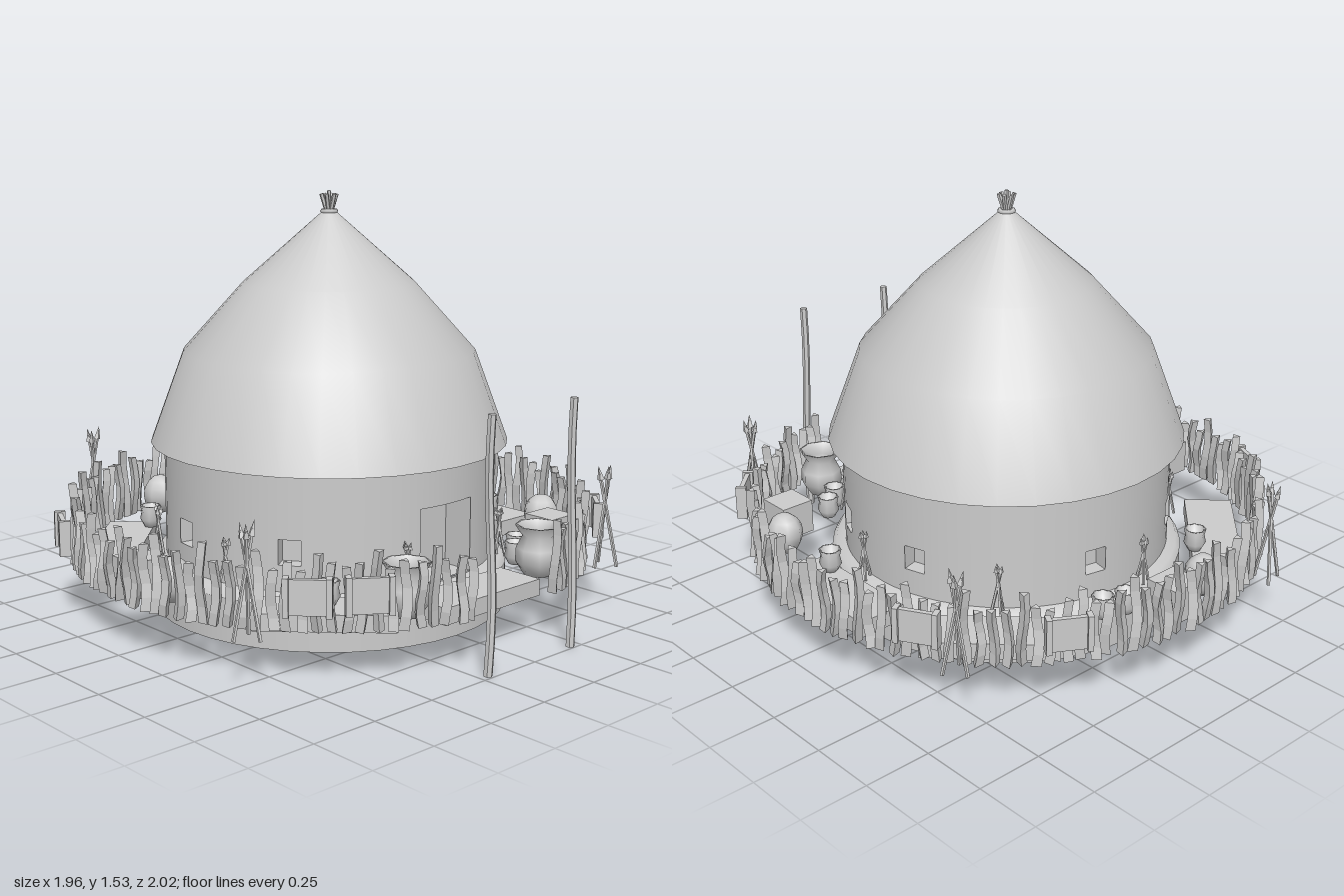
import * as THREE from 'three';

const CZ = -0.03; // z of the hut's axis
const GROUND = 0.18; // level of the yard
const RAD = Math.PI / 180;
const smooth = new THREE.MeshStandardMaterial({ color: 0xcccccc, side: THREE.DoubleSide });
const flat = new THREE.MeshStandardMaterial({ color: 0xcccccc, flatShading: true });
const inward = new THREE.MeshStandardMaterial({ color: 0xcccccc, side: THREE.BackSide });

let seed = 7;
function rand(a, b) {
  seed = (seed * 16807) % 2147483647;
  return a + (b - a) * (seed / 2147483647);
}

function add(parent, name, geometry, material, x = 0, y = 0, z = 0, turn = 0) {
  const mesh = new THREE.Mesh(geometry, material);
  mesh.name = name;
  mesh.position.set(x, y, z);
  mesh.rotation.y = turn;
  parent.add(mesh);
  return mesh;
}

function group(parent, name, x = 0, y = 0, z = 0, turn = 0) {
  const g = new THREE.Group();
  g.name = name;
  g.position.set(x, y, z);
  g.rotation.y = turn;
  parent.add(g);
  return g;
}

function lathe(points, sides) {
  return new THREE.LatheGeometry(points.map(p => new THREE.Vector2(p[0], p[1])), sides);
}

// upright stick standing on y = 0, with a crooked middle
function crookedStick(height, radius, sides, rows, bend) {
  const g = new THREE.CylinderGeometry(radius * 0.9, radius, height, sides, rows);
  g.translate(0, height / 2, 0);
  const p = g.attributes.position;
  const phase = rand(0, 6.28), waves = rand(4, 7);
  for (let i = 0; i < p.count; i++) {
    const t = p.getY(i) / height;
    p.setX(i, p.getX(i) + bend * Math.sin(phase + waves * t));
    p.setZ(i, p.getZ(i) + bend * Math.cos(phase + waves * t));
  }
  g.computeVertexNormals();
  return g;
}

// sticks crossing each other in a bundle, feet spread apart
function stickBundle(parent, name, count, x, y, z, height, spread, radius) {
  const g = group(parent, name, x, y, z, rand(0, 6));
  for (let i = 0; i < count; i++) {
    const a = i / count * Math.PI * 2;
    const foot = new THREE.Vector3(Math.sin(a) * spread, 0, Math.cos(a) * spread);
    const tip = new THREE.Vector3(-foot.x * 0.45, height * rand(0.92, 1), -foot.z * 0.45);
    const dir = tip.clone().sub(foot);
    const s = add(g, 'stick', new THREE.CylinderGeometry(radius, radius, dir.length(), 5), flat);
    s.position.copy(foot).add(tip).multiplyScalar(0.5);
    s.quaternion.setFromUnitVectors(new THREE.Vector3(0, 1, 0), dir.clone().normalize());
    // pointed head
    const head = add(g, 'spearHead', new THREE.ConeGeometry(radius * 1.9, height * 0.14, 4), flat);
    head.position.copy(tip);
    head.quaternion.copy(s.quaternion);
  }
}

// round wall with a recessed doorway and windows
function buildWall(hut) {
  const r = 0.62, bottom = 0.19, top = 0.61;
  const openings = [{ a: 0, half: 0.203, y0: 0.2, y1: 0.47, depth: 0.12, name: 'doorway' }];
  for (const deg of [66, 106, 168, 215, 262, 305]) {
    openings.push({ a: deg * RAD, half: 0.065, y0: 0.29, y1: 0.38, depth: 0.06, name: 'window' });
  }
  const wall = group(hut, 'wall');
  const panel = (a0, a1, y0, y1) => {
    const segs = Math.max(2, Math.ceil((a1 - a0) / 0.1));
    add(wall, 'wallPanel', new THREE.CylinderGeometry(r, r, y1 - y0, segs, 1, true, a0, a1 - a0),
      smooth, 0, (y0 + y1) / 2, 0);
  };
  openings.forEach((o, i) => {
    const next = openings[i + 1] || { a: Math.PI * 2, half: openings[0].half };
    panel(o.a - o.half, o.a + o.half, bottom, o.y0);
    panel(o.a - o.half, o.a + o.half, o.y1, top);
    panel(o.a + o.half, next.a - next.half, bottom, top);
    const d = r * Math.cos(o.half) - o.depth / 2 + 0.004;
    add(wall, o.name, new THREE.BoxGeometry(2 * r * Math.sin(o.half), o.y1 - o.y0, o.depth),
      inward, Math.sin(o.a) * d, (o.y0 + o.y1) / 2, Math.cos(o.a) * d, o.a);
  });
}

function buildHut(model) {
  const hut = group(model, 'hut', 0, 0, CZ);
  // footing: outer face, ledge and sloping underside
  add(hut, 'footing', lathe([[0.672, 0], [0.672, 0.16]], 40), smooth);
  add(hut, 'footingLedge', lathe([[0.672, 0.16], [0.655, 0.185], [0.615, 0.195]], 40), smooth);
  add(hut, 'footingUnderside', lathe([[0.6, 0.08], [0.672, 0]], 40), smooth);
  add(hut, 'footingInside', lathe([[0.615, 0.195], [0.6, 0.08]], 40), smooth);
  buildWall(hut);
  // thatched roof with eaves
  add(hut, 'roof', lathe([[0.67, 0.612], [0.545, 0.95], [0.32, 1.2], [0.03, 1.455], [0.001, 1.47]], 32), smooth);
  add(hut, 'eaves', lathe([[0.615, 0.61], [0.67, 0.612]], 32), smooth);
  // tied bundle at the peak
  const tie = add(hut, 'roofTie', new THREE.TorusGeometry(0.025, 0.009, 6, 12), smooth, 0, 1.46, 0);
  tie.rotation.x = Math.PI / 2;
  for (let i = 0; i < 6; i++) {
    const a = i / 6 * Math.PI * 2;
    const s = add(hut, 'peakStick', new THREE.CylinderGeometry(0.008, 0.008, 0.08, 5), flat,
      Math.sin(a) * 0.017, 1.485, Math.cos(a) * 0.017);
    s.rotation.set(Math.cos(a) * 0.3, 0, -Math.sin(a) * 0.3);
  }
  add(hut, 'peakStick', new THREE.CylinderGeometry(0.008, 0.008, 0.09, 5), flat, 0, 1.49, 0);
}

// hollow-bottomed platform
function platform(model, x, z, turn) {
  const g = group(model, 'platform', x, 0.145, z, turn);
  add(g, 'deck', new THREE.BoxGeometry(0.48, 0.015, 0.185), flat, 0, 0.0525, 0);
  for (const s of [-1, 1]) {
    add(g, 'longEdge', new THREE.BoxGeometry(0.48, 0.045, 0.015), flat, 0, 0.0225, s * 0.085);
    add(g, 'shortEdge', new THREE.BoxGeometry(0.015, 0.045, 0.155), flat, s * 0.2325, 0.0225, 0);
  }
}

export function createModel() {
  const model = new THREE.Group();
  buildHut(model);

  // ring of fence stakes, open at the front
  const fence = group(model, 'fence', 0, 0, CZ);
  const gap = 12.7 * RAD, count = 116;
  for (let i = 0; i < count; i++) {
    const a = gap + (Math.PI * 2 - 2 * gap) * i / (count - 1);
    const h = i % 4 === 0 ? rand(0.26, 0.28) : rand(0.2, 0.24);
    const r = 0.957 + rand(-0.006, 0.006);
    add(fence, 'fenceStake', crookedStick(h, 0.021, 3, 5, 0.007), flat,
      Math.sin(a) * r, 0.175, Math.cos(a) * r, a + rand(0, 2));
  }

  // tall gate posts
  for (const s of [-1, 1]) {
    add(model, 'gatePost', crookedStick(0.88, 0.016, 6, 8, 0.008), flat, s * 0.208, 0, 0.975);
  }

  // hides stretched on frames along the fence
  for (const [x, z] of [[-0.91, -0.47], [-0.74, 0.68], [-0.58, 0.8], [0.72, 0.68], [0.86, -0.53], [0.52, -0.9]]) {
    const g = group(model, 'hideFrame', x, 0.315, z, Math.atan2(x, z - CZ));
    add(g, 'hide', new THREE.BoxGeometry(0.125, 0.12, 0.018), flat);
    for (const s of [-1, 1]) add(g, 'framePost', new THREE.BoxGeometry(0.02, 0.13, 0.04), flat, s * 0.07, 0, 0);
  }

  // spear bundles by the fence and small ones by the wall
  for (const [x, z] of [[-0.45, -0.95], [0.8, -0.66], [-0.88, 0.55], [0.59, 0.82]]) {
    stickBundle(model, 'spearBundle', 3, x, 0.175, z, 0.37, 0.05, 0.007);
  }
  for (const deg of [-18, 34, 85, 135, 187, 238, 284]) {
    const a = deg * RAD;
    stickBundle(model, 'wallSpears', 3, Math.sin(a) * 0.65, 0.19, CZ + Math.cos(a) * 0.65, 0.18, 0.025, 0.006);
  }

  const q = Math.PI / 4;
  platform(model, -0.02, 0.738, 0);
  platform(model, 0.777, 0, 2 * q);
  platform(model, -0.57, -0.585, q);
  platform(model, 0.57, -0.575, -q);
  platform(model, -0.535, 0.54, -q);

  // large open pots
  const bowl = lathe([[0.001, 0], [0.05, 0], [0.082, 0.05], [0.08, 0.1], [0.058, 0.145], [0.085, 0.185],
    [0.075, 0.185], [0.05, 0.145], [0.065, 0.09], [0.001, 0.03]], 8);
  for (const x of [-0.35, 0.32]) add(model, 'largePot', bowl, smooth, x, GROUND, 0.735);

  // small pots, three of them on platforms
  const jar = lathe([[0.001, 0], [0.025, 0], [0.042, 0.03], [0.036, 0.06], [0.042, 0.085],
    [0.034, 0.085], [0.028, 0.06], [0.001, 0.05]], 8);
  for (const [x, z, y] of [[-0.52, 0.535, 0.205], [0.72, 0.135, 0.205], [-0.385, -0.655, 0.205],
    [0.11, -0.77, GROUND], [0.195, -0.74, GROUND], [-0.72, -0.18, GROUND], [-0.72, -0.08, GROUND],
    [0.435, 0.535, GROUND], [0.36, 0.595, GROUND]]) {
    add(model, 'smallPot', jar, smooth, x, y, z);
  }

  // round baskets and crates
  for (const [x, z] of [[-0.18, -0.87], [-0.84, 0.1], [0.735, 0.4]]) {
    const b = add(model, 'roundBasket', new THREE.SphereGeometry(0.07, 8, 8), smooth, x, GROUND + 0.08, z, 0.39);
    b.scale.y = 1.15;
  }
  for (const [x, z] of [[-0.01, -0.885], [-0.86, -0.065], [0.62, 0.54]]) {
    add(model, 'crate', new THREE.BoxGeometry(0.133, 0.13, 0.133), flat, x, GROUND + 0.065, z);
  }
  return model;
}
